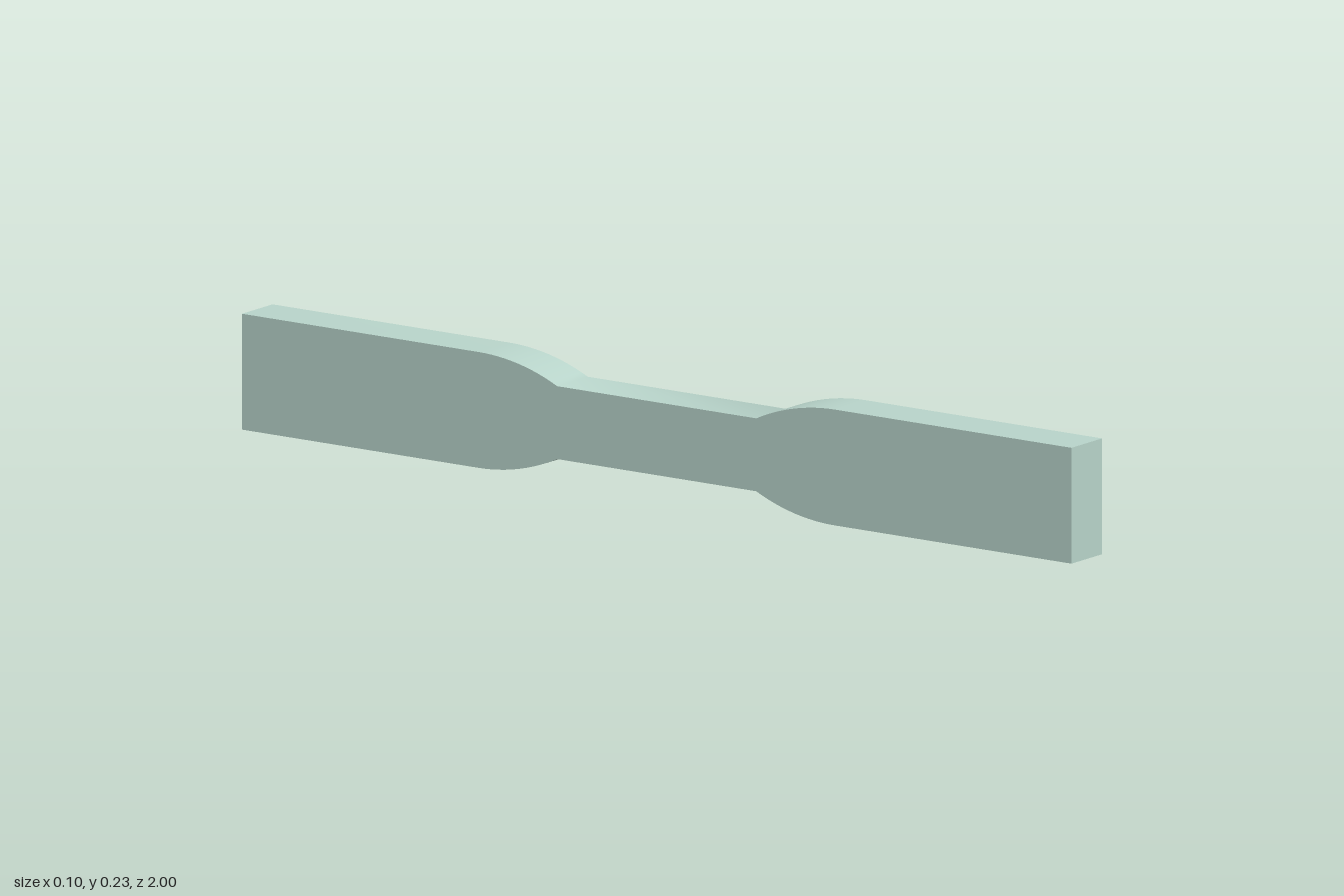
import * as THREE from 'three';
import { toCreasedNormals } from 'three/addons/utils/BufferGeometryUtils.js';

const LENGTH = 2, HEIGHT = 0.232, WIDTH = 0.102;
const NECK_END = 0.24, GRIP_START = 0.43, NECK_INSET = 0.043;

// Upper edge of one half, from the neck out to the end; the fillet meets the grip tangentially
function halfEdge(steps = 12) {
  const run = GRIP_START - NECK_END;
  const radius = (run * run + NECK_INSET * NECK_INSET) / (2 * NECK_INSET);
  const sweep = Math.asin(run / radius);
  const points = [];
  for (let i = 0; i <= steps; i++) {
    const a = sweep * (1 - i / steps);
    points.push([GRIP_START - radius * Math.sin(a), HEIGHT / 2 - radius * (1 - Math.cos(a))]);
  }
  points.push([LENGTH / 2, HEIGHT / 2]);
  return points;
}

export function createModel() {
  const group = new THREE.Group();
  group.name = 'tensileTestBar';

  // Mirror the edge into all four quarters, counter-clockwise
  const edge = halfEdge();
  const back = [...edge].reverse();
  const quarter = (pts, sx, sy) => pts.map(([x, y]) => new THREE.Vector2(sx * x, sy * y));
  const outline = new THREE.Shape([
    ...quarter(edge, 1, -1),
    ...quarter(back, 1, 1),
    ...quarter(edge, -1, 1),
    ...quarter(back, -1, -1),
  ]);

  // Extrude across the thickness, then turn the length along z
  const solid = new THREE.ExtrudeGeometry(outline, { depth: WIDTH, bevelEnabled: false });
  solid.translate(0, HEIGHT / 2, -WIDTH / 2);
  solid.rotateY(-Math.PI / 2);

  const bar = new THREE.Mesh(
    toCreasedNormals(solid, 0.6),
    new THREE.MeshStandardMaterial({ color: 0xb8d4ca })
  );
  bar.name = 'neckedBar';
  group.add(bar);
  return group;
}
